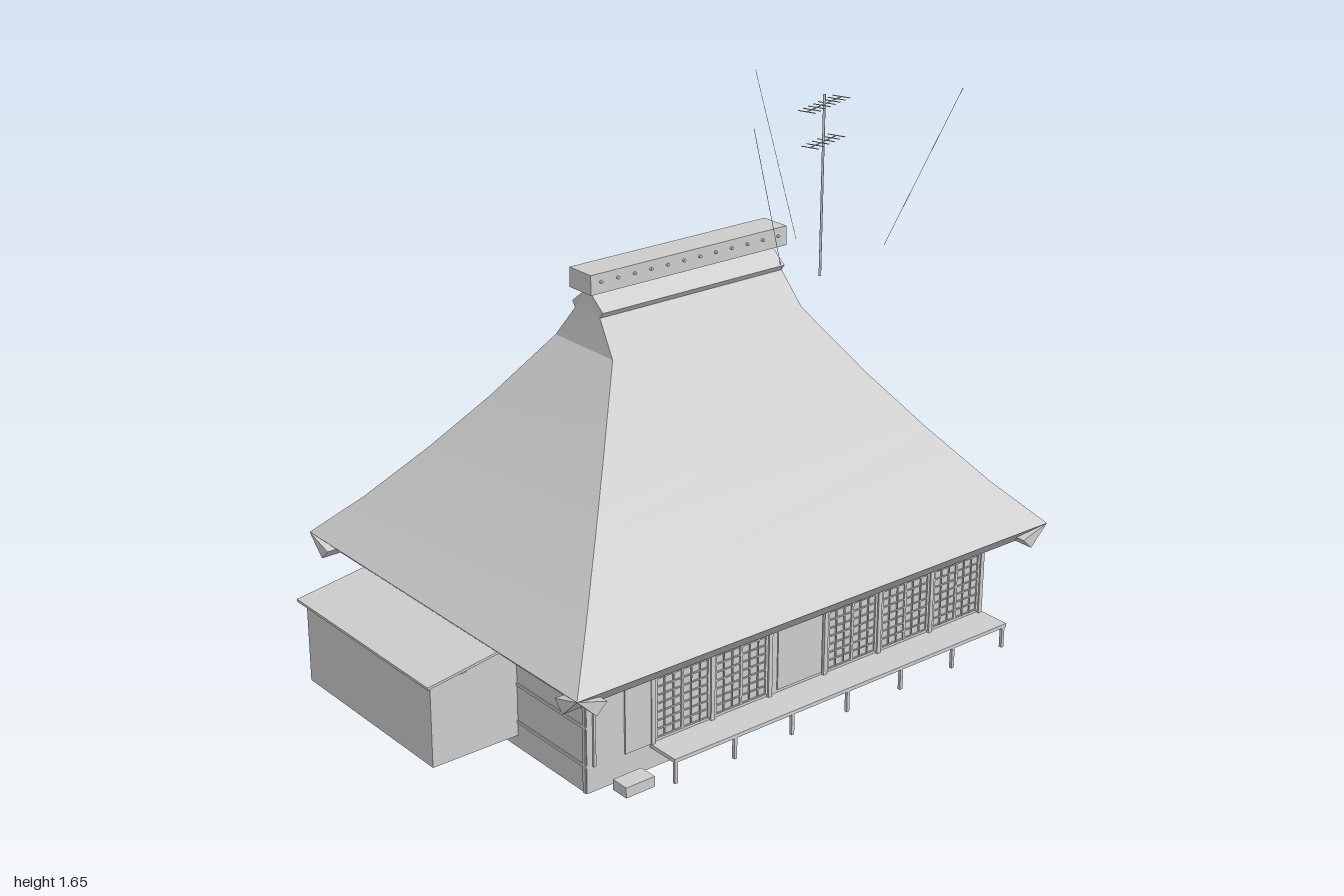
import * as THREE from 'three';

export function createModel() {
  const model = new THREE.Group();
  const paint = new THREE.MeshStandardMaterial({ color: 0xcccccc, side: THREE.DoubleSide });
  paint.name = 'plain grey';

  const add = (name, geo, parent = model) => {
    const mesh = new THREE.Mesh(geo, paint);
    mesh.name = name;
    parent.add(mesh);
    return mesh;
  };
  const group = (name) => {
    const g = new THREE.Group();
    g.name = name;
    model.add(g);
    return g;
  };
  // box given by its minimum and maximum on each axis
  const box = (name, x0, x1, y0, y1, z0, z1, parent) =>
    add(name, new THREE.BoxGeometry(x1 - x0, y1 - y0, z1 - z0)
      .translate((x0 + x1) / 2, (y0 + y1) / 2, (z0 + z1) / 2), parent);
  // thin round rod between two points
  const rod = (name, a, b, r, parent, sides = 6) => {
    const p = new THREE.Vector3(...a), q = new THREE.Vector3(...b);
    const m = add(name, new THREE.CylinderGeometry(r, r, p.distanceTo(q), sides), parent);
    m.position.copy(p).lerp(q, 0.5);
    m.quaternion.setFromUnitVectors(new THREE.Vector3(0, 1, 0), q.sub(p).normalize());
    return m;
  };
  // four-sided surface through rectangular rings [y, xMin, xMax, zHalf]
  const hipSurface = (name, rings, parent) => {
    const corner = ([y, x0, x1, z], i) => [[x0, y, z], [x1, y, z], [x1, y, -z], [x0, y, -z]][i % 4];
    for (let s = 0; s < 4; s++) {
      const pos = [], idx = [];
      rings.forEach((r, k) => {
        pos.push(...corner(r, s), ...corner(r, s + 1));
        const a = 2 * k;
        if (k < rings.length - 1) idx.push(a, a + 1, a + 3, a, a + 3, a + 2);
      });
      const g = new THREE.BufferGeometry();
      g.setAttribute('position', new THREE.Float32BufferAttribute(pos, 3));
      g.setIndex(idx);
      g.computeVertexNormals();
      add(name, g, parent);
    }
  };
  // prism with its cross-section in (z, y), running along x
  const prismX = (name, pts, x0, x1, parent) => {
    const shape = new THREE.Shape(pts.map(([z, y]) => new THREE.Vector2(-z, y)));
    const g = new THREE.ExtrudeGeometry(shape, { depth: x1 - x0, bevelEnabled: false });
    return add(name, g.rotateY(Math.PI / 2).translate(x0, 0, 0), parent);
  };

  // thatched roof, sagging slightly, with a steep neck under the ridge
  const roof = group('roof');
  const slope = [[0.39, 0], [0.52, 0.125], [0.69, 0.268], [0.86, 0.4], [1.06, 0.54]];
  hipSurface('roofSlope', slope.map(([y, d]) => [y, -0.82 + d, 0.97 - d, 0.675 - d]), roof);
  hipSurface('roofNeck', [[1.06, -0.28, 0.43, 0.135], [1.165, -0.265, 0.415, 0.055], [1.23, -0.265, 0.415, 0.003]], roof);
  box('soffit', -0.74, 0.89, 0.36, 0.366, -0.6, 0.6, roof);

  // wedge-shaped eaves that cross at the corners
  const wedge = (edge) => [[edge, 0.39], [edge - 0.1, 0.36], [edge - 0.065, 0.326]];
  for (const turn of [0, Math.PI]) {
    prismX('longEave', wedge(0.675), -0.895, 0.895, roof).rotation.y = turn;
    prismX('sideEave', wedge(0.895), -0.675, 0.675, roof).rotation.y = turn + Math.PI / 2;
  }
  roof.children.filter((m) => m.name.endsWith('Eave')).forEach((m) => { m.position.x = 0.075; });

  // ridge cap, ridge box and its row of pegs
  const ridge = group('ridge');
  prismX('ridgeCap', [[0, 1.235], [-0.072, 1.178], [-0.055, 1.155], [0, 1.2], [0.055, 1.155], [0.072, 1.178]], -0.265, 0.415, ridge);
  box('ridgeBox', -0.29, 0.44, 1.23, 1.29, -0.05, 0.05, ridge);
  for (let i = 0; i < 12; i++) {
    const x = -0.255 + i * 0.06;
    rod('ridgePeg', [x, 1.265, -0.057], [x, 1.265, 0.057], 0.005, ridge);
  }

  // main body
  const house = group('house');
  box('walls', -0.69, 0.84, 0, 0.4, -0.54, 0.54, house);

  // timber rails and posts on the sides and back
  for (const y of [0.08, 0.2, 0.3]) {
    box('backRail', -0.69, 0.84, y, y + 0.01, -0.543, -0.539, house);
    box('rightRail', 0.839, 0.843, y, y + 0.01, -0.54, 0.54, house);
    box('leftRail', -0.693, -0.689, y, y + 0.01, -0.54, 0.54, house);
  }
  for (const x of [-0.68, -0.4, 0.05, 0.35, 0.83])
    box('backPost', x - 0.006, x + 0.006, 0, 0.36, -0.543, -0.539, house);
  for (const z of [-0.53, -0.2, 0.15, 0.53]) {
    box('rightPost', 0.839, 0.843, 0, 0.36, z - 0.006, z + 0.006, house);
    box('leftPost', -0.693, -0.689, 0, 0.36, z - 0.006, z + 0.006, house);
  }
  // barred back windows
  for (const cx of [0.46, -0.29]) {
    for (let i = -1; i <= 1; i++)
      box('windowBar', cx + i * 0.035 - 0.004, cx + i * 0.035 + 0.004, 0.235, 0.33, -0.549, -0.54, house);
    box('windowSill', cx - 0.06, cx + 0.06, 0.235, 0.243, -0.547, -0.54, house);
  }

  // front posts, lattice screens and doors
  const front = group('frontScreens');
  const bays = Array.from({ length: 7 }, (_, i) => -0.463 + i * 0.2155);
  box('frontLintel', -0.69, 0.84, 0.312, 0.326, 0.54, 0.548, front);
  bays.forEach((x, i) => {
    box('frontPost', x - 0.007, x + 0.007, 0.08, 0.32, 0.54, 0.549, front);
    if (i === 6) return;
    const x0 = x + 0.012, x1 = x + 0.2035;
    if (i === 2) {
      box('boardPanel', x0 + 0.02, x1, 0.09, 0.305, 0.54, 0.544, front);
      return;
    }
    for (let k = 0; k <= 8; k++) {
      const y = 0.092 + k * 0.0265;
      box('latticeRail', x0, x1, y - 0.002, y + 0.002, 0.54, 0.544, front);
    }
    for (let k = 0; k <= 6; k++) {
      const u = x0 + (x1 - x0) * k / 6;
      const w = k % 3 ? 0.0015 : 0.004;
      box('latticeStile', u - w, u + w, 0.09, 0.305, 0.54, 0.545, front);
    }
  });
  box('entranceDoor', -0.56, -0.463, 0.08, 0.308, 0.54, 0.545, front);
  box('wallSlat', -0.67, -0.662, 0.08, 0.305, 0.54, 0.546, front);

  // veranda on short legs, with a stepping stone
  const veranda = group('veranda');
  box('verandaDeck', -0.47, 0.84, 0.068, 0.08, 0.54, 0.652, veranda);
  for (const x of bays) box('verandaLeg', x - 0.005, x + 0.005, 0, 0.07, 0.64, 0.65, veranda);
  box('steppingStone', -0.62, -0.52, 0, 0.033, 0.565, 0.625, veranda);

  // lean-to annex on the side
  const annex = group('annex');
  box('annexWalls', -0.98, -0.68, 0.04, 0.3, -0.435, 0.215, annex);
  const annexRoof = new THREE.Shape([[-1, 0.298], [-0.68, 0.345], [-0.68, 0.353], [-1, 0.306]]
    .map(([x, y]) => new THREE.Vector2(x, y)));
  add('annexRoof', new THREE.ExtrudeGeometry(annexRoof, { depth: 0.69, bevelEnabled: false })
    .translate(0, 0, -0.455), annex);
  prismX('annexGableFill', [[-0.435, 0.295], [0.215, 0.295], [0.215, 0.32], [-0.435, 0.32]], -0.86, -0.68, annex);

  // fuel tank on legs
  const tank = group('fuelTank');
  box('tankBody', 0.85, 0.925, 0.056, 0.173, -0.24, -0.07, tank);
  for (const x of [0.86, 0.915])
    for (const z of [-0.23, -0.08]) box('tankLeg', x - 0.004, x + 0.004, 0, 0.06, z - 0.004, z + 0.004, tank);
  rod('tankCap', [0.888, 0.17, -0.205], [0.888, 0.183, -0.205], 0.007, tank, 12);

  // two gas bottles on a slab
  const gas = group('gasBottles');
  box('gasSlab', 0.845, 0.915, 0, 0.01, -0.46, -0.33, gas);
  const profile = [[0, 0.01], [0.024, 0.01], [0.024, 0.145], [0.018, 0.16], [0.012, 0.165], [0.012, 0.175], [0, 0.175]]
    .map(([r, y]) => new THREE.Vector2(r, y));
  for (const z of [-0.364, -0.424])
    add('gasBottle', new THREE.LatheGeometry(profile, 14), gas).position.set(0.878, 0, z);
  rod('gasPipe', [0.85, 0.05, -0.394], [0.85, 0.19, -0.394], 0.004, gas);
  box('gasRegulator', 0.845, 0.862, 0.11, 0.15, -0.4, -0.388, gas);

  // aerial mast with two toothed booms and guy wires
  const aerial = group('aerial');
  rod('mast', [0.625, 1.08, 0], [0.625, 1.65, 0], 0.004, aerial);
  for (const [y, half, teeth] of [[1.62, 0.105, 8], [1.505, 0.08, 6]]) {
    const boom = new THREE.Group();
    boom.name = 'aerialBoom';
    boom.position.set(0.625, y, 0);
    boom.rotation.y = 0.32;
    aerial.add(boom);
    rod('boomBar', [-half, 0, 0], [half, 0, 0], 0.002, boom);
    for (let i = 0; i < teeth; i++) {
      const x = -half + 2 * half * i / (teeth - 1);
      rod('boomTooth', [x, 0, -0.03], [x, 0, 0.03], 0.0015, boom, 4);
    }
  }
  rod('guyWire', [0.215, 1.65, 0.155], [0.41, 1.16, 0.065], 0.0008, aerial, 4);
  rod('guyWire', [0.66, 1.65, -0.355], [0.645, 1.16, -0.135], 0.0008, aerial, 4);
  rod('guyWire', [1.0, 1.65, 0.205], [0.815, 1.16, 0.08], 0.0008, aerial, 4);

  return model;
}
